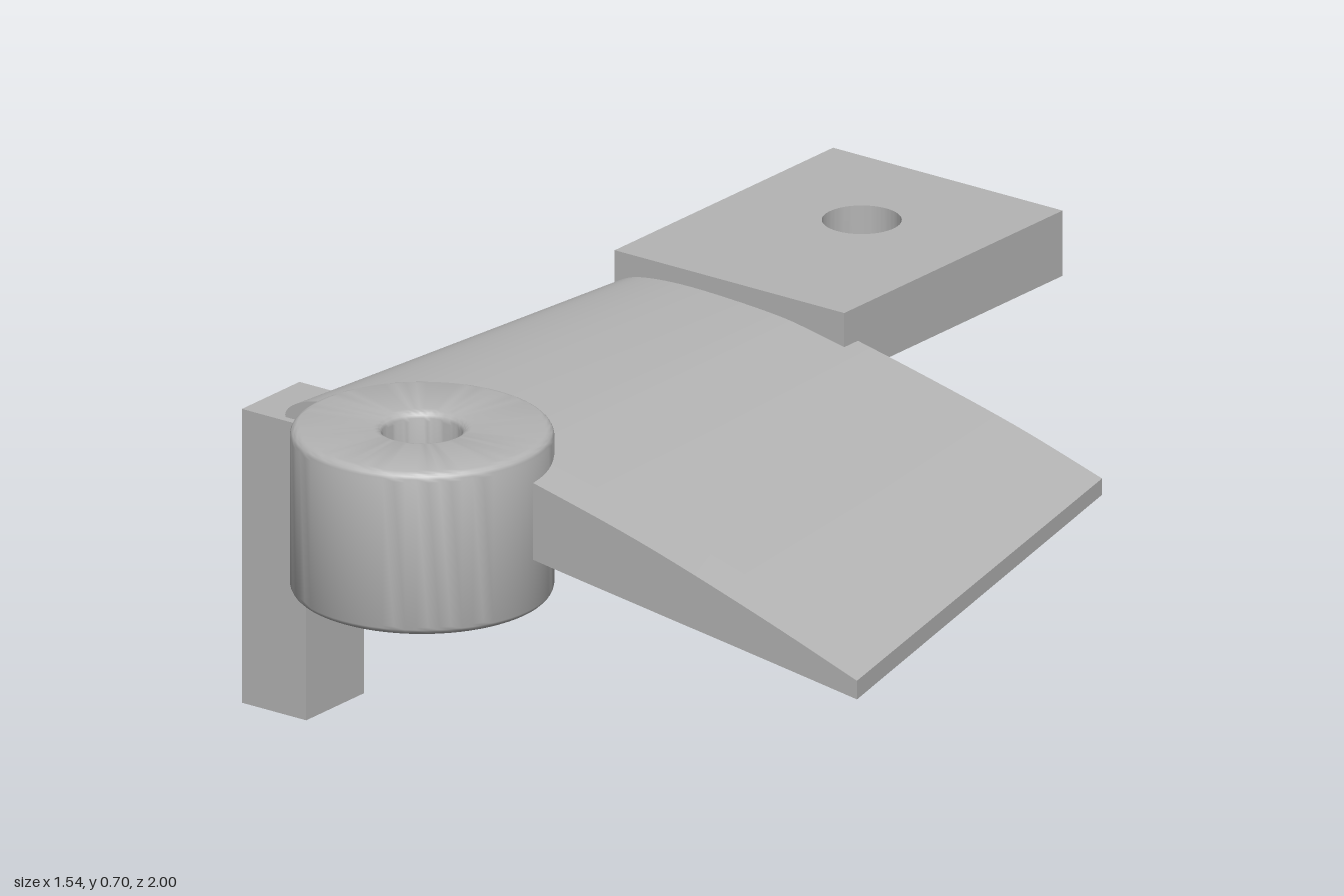
import * as THREE from 'three';
import { toCreasedNormals } from 'three/addons/utils/BufferGeometryUtils.js';

// Blade cross-sections: stations along the chord, with upper and lower heights
const STATIONS = [0, 0.02, 0.07, 0.17, 0.33, 0.43, 0.62, 0.82, 1];
const LAST = STATIONS.length - 1;
const STEPS = 6;

function section(z, nose, tail, top, bottom) {
  const point = (y, i) => new THREE.Vector2(nose + (tail - nose) * STATIONS[i], y);
  // One curve runs from the upper tail, round the nose, to the lower tail
  const curve = new THREE.SplineCurve([
    ...top.map(point).reverse(),
    ...bottom.map(point).slice(1),
  ]);
  return (side, u) => {
    const p = curve.getPoint((LAST - side * u) / (2 * LAST));
    return new THREE.Vector3(p.x, p.y, z);
  };
}

const back = section(-0.325, -0.61, 0.588,
  [0.615, 0.64, 0.658, 0.665, 0.657, 0.64, 0.593, 0.537, 0.475],
  [0.615, 0.597, 0.583, 0.565, 0.542, 0.528, 0.5, 0.468, 0.44]);
const front = section(0.715, -0.675, 0.765,
  [0.635, 0.665, 0.685, 0.69, 0.665, 0.635, 0.57, 0.485, 0.4],
  [0.635, 0.6, 0.565, 0.53, 0.495, 0.47, 0.433, 0.395, 0.36]);

// Closed loft between two depths, over a range of chord stations
function loft(u0, u1, z0, z1) {
  const at = (side, u, z) => back(side, u).lerp(front(side, u), (z + 0.325) / 1.04);
  const pos = [];
  const tri = (a, b, c) => {
    const area = b.clone().sub(a).cross(c.clone().sub(a)).length();
    if (area > 1e-9) for (const p of [a, b, c]) pos.push(p.x, p.y, p.z);
  };
  const quad = (a, b, c, d) => { tri(a, b, c); tri(a, c, d); };
  const corners = (u) => [at(1, u, z0), at(1, u, z1), at(-1, u, z1), at(-1, u, z0)];
  const n = (u1 - u0) * STEPS;
  for (let i = 0; i < n; i++) {
    const [a, b, c, d] = corners(u0 + i / STEPS);
    const [e, f, g, h] = corners(u0 + (i + 1) / STEPS);
    quad(a, b, f, e); // upper skin
    quad(d, h, g, c); // lower skin
    quad(c, g, f, b); // front end
    quad(d, a, e, h); // back end
  }
  const [a, b, c, d] = corners(u0);
  quad(d, c, b, a);
  const [e, f, g, h] = corners(u1);
  quad(h, e, f, g);
  const geo = new THREE.BufferGeometry();
  geo.setAttribute('position', new THREE.Float32BufferAttribute(pos, 3));
  return toCreasedNormals(geo, 0.6);
}

export function createModel() {
  const model = new THREE.Group();
  const grey = new THREE.MeshStandardMaterial({ color: 0xb4b4b4 });
  grey.name = 'grey';

  const add = (name, geo, x = 0, y = 0, z = 0, parent = model) => {
    const mesh = new THREE.Mesh(geo, grey);
    mesh.name = name;
    mesh.position.set(x, y, z);
    parent.add(mesh);
    return mesh;
  };

  // Tapered blade, left open inside the hub so the bore stays clear
  const blade = new THREE.Group();
  blade.name = 'blade';
  model.add(blade);
  add('bladeBody', loft(0, LAST, -0.325, 0.62), 0, 0, 0, blade);
  add('bladeNoseFront', loft(0, 3, 0.62, 0.715), 0, 0, 0, blade);
  add('bladeTailFront', loft(4, LAST, 0.62, 0.715), 0, 0, 0, blade);

  // Round hub with filleted rims and a through bore
  const profile = [];
  const fillet = (r, y, radius, start) => {
    for (let i = 0; i <= 5; i++) {
      const a = start + (i / 5) * Math.PI / 2;
      profile.push(new THREE.Vector2(r + radius * Math.cos(a), y + radius * Math.sin(a)));
    }
  };
  fillet(0.1, 0.02, 0.02, Math.PI);
  fillet(0.245, 0.02, 0.02, -Math.PI / 2);
  fillet(0.245, 0.33, 0.02, 0);
  fillet(0.1, 0.33, 0.02, Math.PI / 2);
  profile.push(profile[0].clone());
  add('hub', toCreasedNormals(new THREE.LatheGeometry(profile, 72), 0.6), -0.315, 0.35, 0.735);

  // Mounting plate with a bolt hole
  const outline = new THREE.Shape();
  outline.moveTo(-0.605, 0.28).lineTo(-0.027, 0.28).lineTo(-0.027, 1).lineTo(-0.605, 1).closePath();
  const hole = new THREE.Path();
  hole.absarc(-0.315, 0.715, 0.08, 0, Math.PI * 2, true);
  outline.holes.push(hole);
  const plate = new THREE.ExtrudeGeometry(outline, { depth: 0.14, bevelEnabled: false, curveSegments: 48 });
  plate.rotateX(-Math.PI / 2);
  add('mountingPlate', toCreasedNormals(plate, 0.6), 0, 0.56, 0);

  // Square post at the blade nose
  add('post', new THREE.BoxGeometry(0.162, 0.63, 0.19), -0.69, 0.315, 0.637);

  return model;
}
